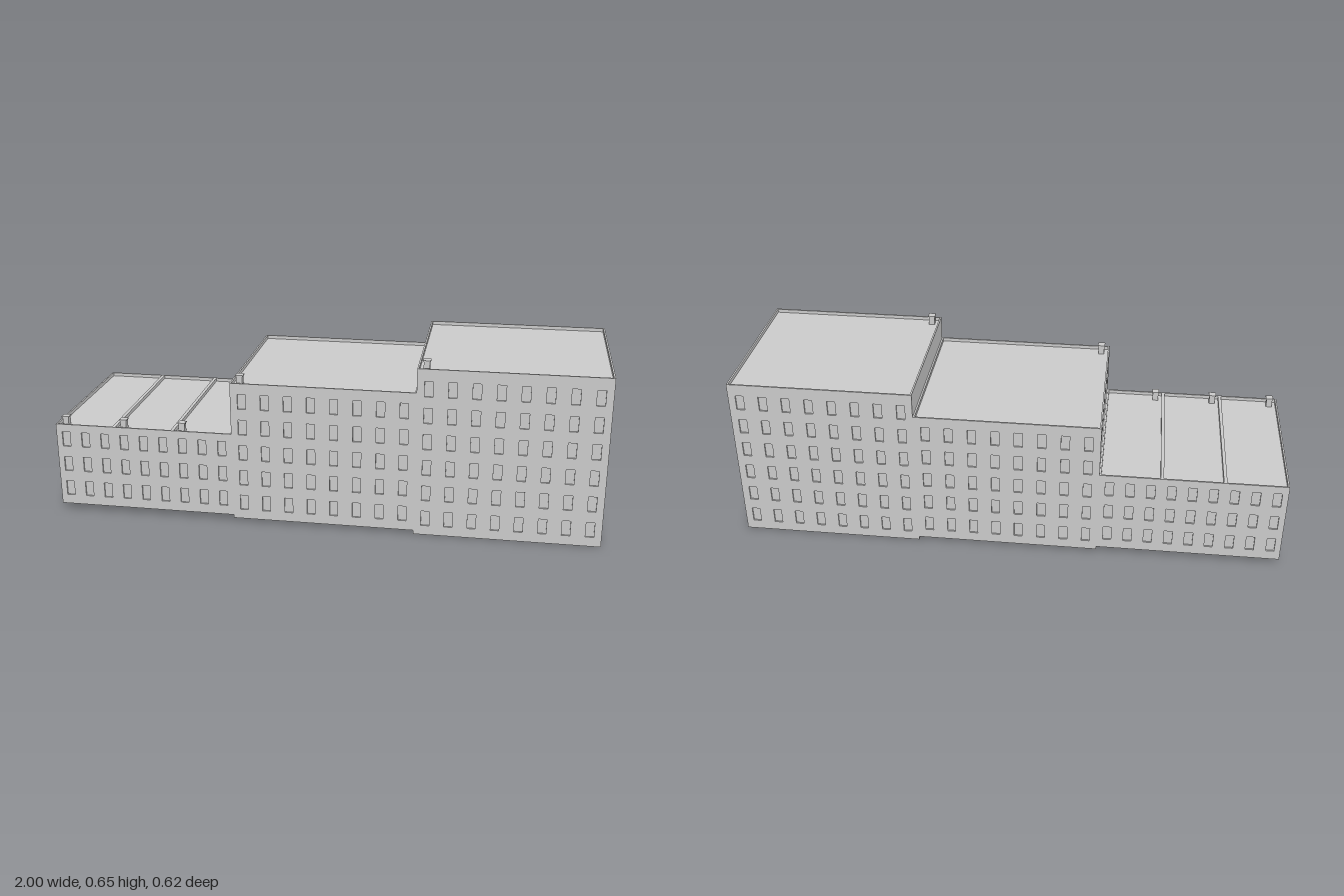
import * as THREE from 'three';

const DEPTH = 0.615, WALL = 0.006, PARAPET = 0.013;
const FLOOR = 0.0985, SILL = 0.036, WIN_W = 0.03, WIN_H = 0.057;

const material = new THREE.MeshStandardMaterial({ color: 0xcccccc, flatShading: true });

function add(parent, name, geometry, x, y, z) {
  const mesh = new THREE.Mesh(geometry, material);
  mesh.name = name;
  mesh.position.set(x, y, z);
  parent.add(mesh);
  return mesh;
}

// Thin wall pierced by a grid of window openings
function wallGeometry(length, height, columns, pitch, floors) {
  const shape = new THREE.Shape();
  shape.moveTo(-length / 2, 0);
  shape.lineTo(length / 2, 0);
  shape.lineTo(length / 2, height);
  shape.lineTo(-length / 2, height);
  shape.closePath();
  for (const floor of floors) {
    for (let c = 0; c < columns; c++) {
      const x = (c - (columns - 1) / 2) * pitch - WIN_W / 2;
      const y = SILL + floor * FLOOR;
      const hole = new THREE.Path();
      hole.moveTo(x, y);
      hole.lineTo(x, y + WIN_H);
      hole.lineTo(x + WIN_W, y + WIN_H);
      hole.lineTo(x + WIN_W, y);
      hole.closePath();
      shape.holes.push(hole);
    }
  }
  return new THREE.ExtrudeGeometry(shape, { depth: WALL, bevelEnabled: false });
}

function createBuilding({ name, x0, x1, y0, y1, columns, floors, leftFloors = [], rightFloors = [] }) {
  const building = new THREE.Group();
  building.name = name;
  const width = x1 - x0, height = y1 - y0, cx = (x0 + x1) / 2;
  const all = Array.from({ length: floors }, (_, i) => i);

  // Inner body: forms the window panes and the sunken flat roof
  const bodyH = height - PARAPET;
  add(building, 'bodyAndRoof',
    new THREE.BoxGeometry(width - 2 * WALL, bodyH, DEPTH - 2 * WALL), cx, y0 + bodyH / 2, 0);

  // Long walls
  const longWall = wallGeometry(width, height, columns, width / columns, all);
  add(building, 'frontWall', longWall, cx, y0, DEPTH / 2 - WALL);
  add(building, 'backWall', longWall, cx, y0, -DEPTH / 2 + WALL).rotation.y = Math.PI;

  // End walls
  const sideLength = DEPTH - 2 * WALL;
  add(building, 'leftEndWall', wallGeometry(sideLength, height, 7, 0.0865, leftFloors),
    x1 - WALL, y0, 0).rotation.y = Math.PI / 2;
  add(building, 'rightEndWall', wallGeometry(sideLength, height, 7, 0.0865, rightFloors),
    x0 + WALL, y0, 0).rotation.y = -Math.PI / 2;

  // Chimney with a slightly wider cap
  const chimney = new THREE.Group();
  chimney.name = 'chimney';
  chimney.position.set(x0 + 0.031, y1, 0.275);
  const shaftH = PARAPET + 0.02;
  add(chimney, 'chimneyShaft', new THREE.BoxGeometry(0.022, shaftH, 0.022), 0, 0.02 - shaftH / 2, 0);
  add(chimney, 'chimneyCap', new THREE.BoxGeometry(0.027, 0.004, 0.027), 0, 0.022, 0);
  building.add(chimney);
  return building;
}

export function createModel() {
  const model = new THREE.Group();
  model.name = 'steppedTerrace';
  const third = 2 / 3, house = third / 3;

  // Three narrow low houses
  for (let i = 0; i < 3; i++) {
    model.add(createBuilding({
      name: 'lowHouse', x0: -1 + i * house, x1: -1 + (i + 1) * house, y0: 0.026, y1: 0.346,
      columns: 3, floors: 3, rightFloors: i === 0 ? [0, 1, 2] : [],
    }));
  }

  // Middle block, with windows looking over the low roofs
  model.add(createBuilding({
    name: 'middleBlock', x0: -1 + third, x1: -1 + 2 * third, y0: 0.014, y1: 0.541,
    columns: 8, floors: 5, rightFloors: [4],
  }));

  // Tall end block
  model.add(createBuilding({
    name: 'tallBlock', x0: -1 + 2 * third, x1: 1, y0: 0, y1: 0.63,
    columns: 8, floors: 6, leftFloors: [0, 1, 2, 3, 4, 5],
  }));
  return model;
}
